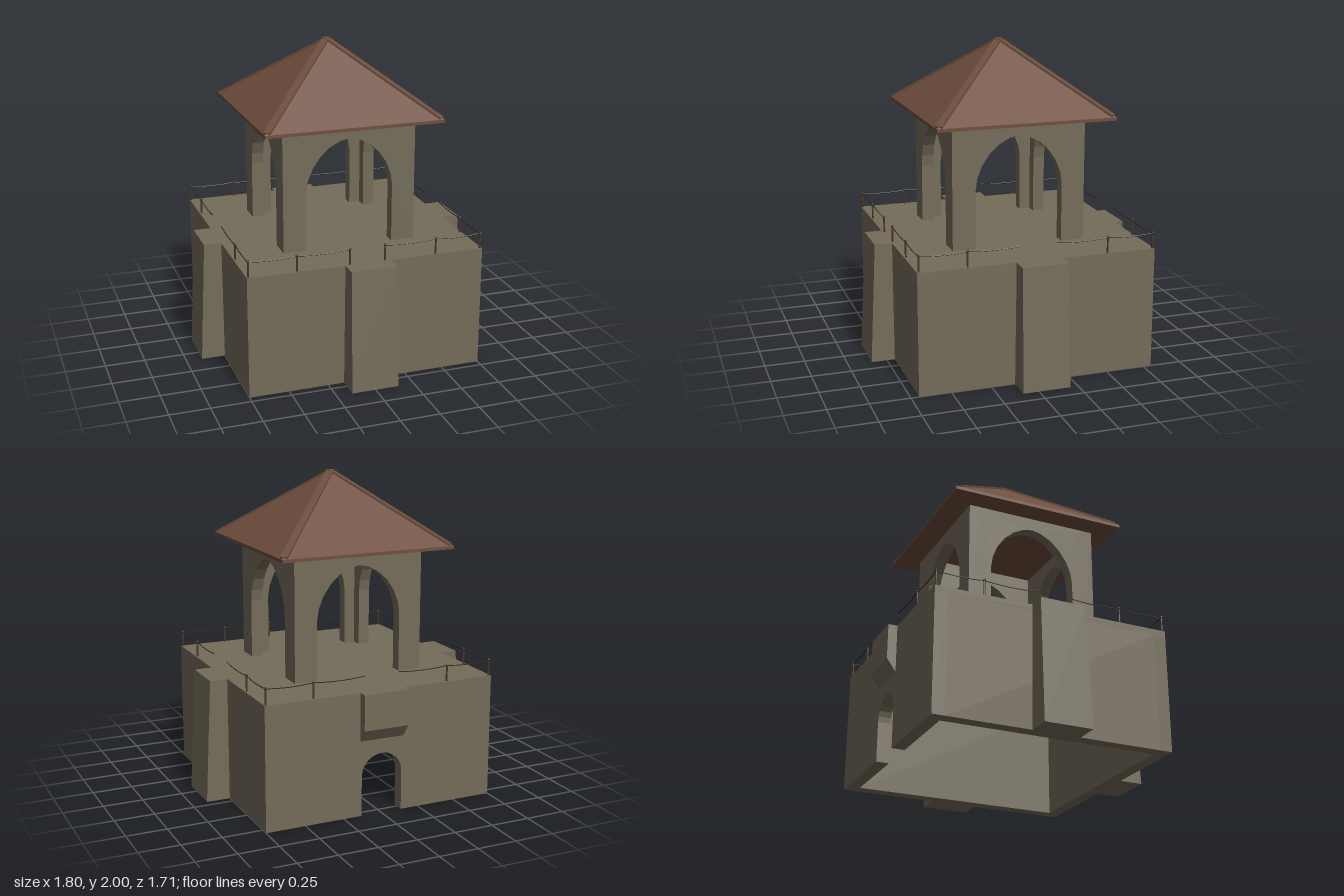
import * as THREE from 'three';

export function createModel() {
  const mat = (name, color) => {
    const m = new THREE.MeshStandardMaterial({ color, flatShading: true });
    m.name = name;
    return m;
  };
  const stone = mat('stone', 0x746c5a);
  const tile = mat('roof tile', 0x6e4e3e);
  const wood = mat('post wood', 0x4a3626);
  const cord = mat('rope', 0x33261b);

  const model = new THREE.Group();
  model.name = 'belfryTower';
  const add = (parent, name, geo, material, x = 0, y = 0, z = 0, turn = 0) => {
    const m = new THREE.Mesh(geo, material);
    m.name = name;
    m.position.set(x, y, z);
    m.rotation.y = turn;
    parent.add(m);
    return m;
  };
  const section = (name, x, y, z) => {
    const g = new THREE.Group();
    g.name = name;
    g.position.set(x, y, z);
    model.add(g);
    return g;
  };

  // Wall panel with an arched notch at the foot; centred in x and z
  const archPanel = (width, height, half, spring, rise, power, depth) => {
    const s = new THREE.Shape();
    s.moveTo(-width / 2, 0);
    s.lineTo(-half, 0);
    const n = 12;
    for (let i = 0; i <= n; i++) {
      const a = Math.PI * (1 - i / n);
      const c = Math.cos(a), v = Math.max(0, Math.sin(a));
      s.lineTo(Math.sign(c) * half * Math.abs(c) ** (2 / power), spring + rise * v ** (2 / power));
    }
    s.lineTo(half, 0);
    s.lineTo(width / 2, 0);
    s.lineTo(width / 2, height);
    s.lineTo(-width / 2, height);
    s.closePath();
    const g = new THREE.ExtrudeGeometry(s, { depth, bevelEnabled: false });
    g.translate(0, 0, -depth / 2);
    return g;
  };

  // Hollow base: four walls under a deck
  const base = section('base', 0, 0, -0.05);
  const t = 0.08, wallH = 0.73, deckY = 0.77;
  add(base, 'deck', new THREE.BoxGeometry(1.5, deckY - wallH, 1.5), stone, 0, (deckY + wallH) / 2, 0);
  add(base, 'frontWall', new THREE.BoxGeometry(1.5, wallH, t), stone, 0, wallH / 2, 0.75 - t / 2);
  for (const s of [-1, 1]) {
    add(base, 'sideWall', new THREE.BoxGeometry(t, wallH, 1.5 - 2 * t), stone, s * (0.75 - t / 2), wallH / 2, 0);
  }
  add(base, 'backWallWithDoorway', archPanel(1.5, wallH, 0.133, 0.25, 0.13, 2, t), stone, 0, 0, -0.75 + t / 2);

  // Tapered buttresses on the front and both sides
  const buttress = new THREE.BoxGeometry(0.3, deckY, 0.15);
  buttress.translate(0, deckY / 2, 0.825);
  const p = buttress.attributes.position;
  for (let i = 0; i < p.count; i++) {
    if (p.getY(i) > 0.1) {
      p.setX(i, p.getX(i) * 0.96);
      if (p.getZ(i) > 0.8) p.setZ(i, 0.86);
    }
  }
  buttress.computeVertexNormals();
  for (const k of [-1, 0, 1]) add(base, 'buttress', buttress, stone, 0, 0, 0, k * Math.PI / 2);

  // Corbel above the doorway
  const corbel = new THREE.Shape([[0, 0.47], [0.057, 0.55], [0.057, deckY], [0, deckY]]
    .map(([x, y]) => new THREE.Vector2(x, y)));
  const corbelGeo = new THREE.ExtrudeGeometry(corbel, { depth: 0.29, bevelEnabled: false });
  corbelGeo.translate(0, 0, -0.145);
  add(base, 'corbel', corbelGeo, stone, 0, 0, -0.75, Math.PI / 2);

  // Open pavilion of four thin arched walls
  const pavilion = section('pavilion', -0.008, deckY, -0.037);
  const w = 0.85, th = 0.075;
  for (let i = 0; i < 4; i++) {
    const a = i * Math.PI / 2, r = w / 2 - th / 2;
    const width = i % 2 ? w - 2 * th : w;
    add(pavilion, 'archWall', archPanel(width, 0.775, 0.278, 0.37, 0.32, 1.8, th), stone,
      Math.sin(a) * r, 0, Math.cos(a) * r, a);
  }

  // Pyramid roof with hip ridges
  const roof = section('roof', -0.01, 0, -0.047);
  add(roof, 'eaves', new THREE.BoxGeometry(1.13, 0.02, 1.13), tile, 0, 1.55, 0);
  const pyramid = new THREE.CylinderGeometry(0.02, 0.565 * Math.SQRT2, 0.425, 4);
  pyramid.rotateY(Math.PI / 4);
  add(roof, 'roofSlopes', pyramid, tile, 0, 1.56 + 0.2125, 0);
  for (const sx of [-1, 1]) for (const sz of [-1, 1]) {
    const low = new THREE.Vector3(sx * 0.548, 1.563, sz * 0.548);
    const high = new THREE.Vector3(0, 1.986, 0);
    const ridge = new THREE.Mesh(new THREE.BoxGeometry(0.045, 0.022, low.distanceTo(high)), tile);
    ridge.name = 'hipRidge';
    ridge.position.copy(low).lerp(high, 0.5);
    ridge.lookAt(high);
    roof.add(ridge);
  }

  // Rope railing around the deck
  const railing = section('railing', 0, deckY, -0.05);
  const e = 0.738, ropeY = 0.096;
  const postGeo = new THREE.CylinderGeometry(0.006, 0.006, 0.1, 8);
  const knobGeo = new THREE.SphereGeometry(0.009, 8, 6);
  const post = (x, z) => {
    add(railing, 'post', postGeo, wood, x, 0.05, z);
    add(railing, 'postKnob', knobGeo, wood, x, 0.098, z);
  };
  const rope = (x1, z1, x2, z2) => {
    const curve = new THREE.QuadraticBezierCurve3(
      new THREE.Vector3(x1, ropeY, z1),
      new THREE.Vector3((x1 + x2) / 2, ropeY - 0.018, (z1 + z2) / 2),
      new THREE.Vector3(x2, ropeY, z2));
    add(railing, 'rope', new THREE.TubeGeometry(curve, 8, 0.003, 5), cord);
  };
  for (const sx of [-1, 1]) for (const sz of [-1, 1]) {
    post(sx * e, sz * e);
    post(sx * 0.442, sz * e);
    post(sx * e, sz * 0.442);
    if (sz > 0) post(sx * 0.112, e);
    rope(sx * e, sz * e, sx * 0.442, sz * e);
    rope(sx * 0.442, sz * e, sx * 0.112, sz * e);
    rope(sx * e, sz * e, sx * e, sz * 0.442);
    rope(sx * e, sz * 0.442, sx * e, sz * 0.112);
  }
  return model;
}
